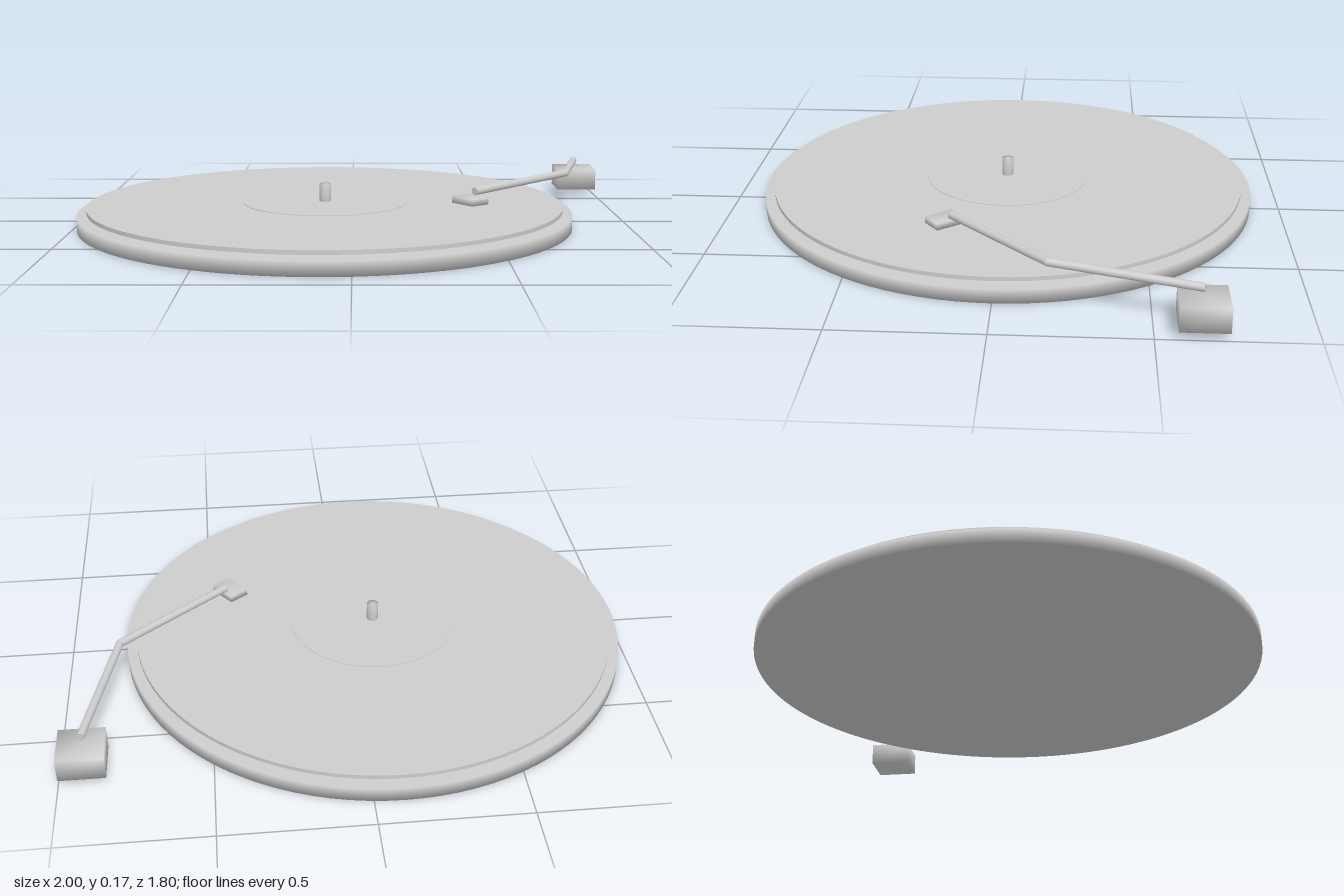
import * as THREE from 'three';
import { mergeVertices } from 'three/addons/utils/BufferGeometryUtils.js';

export function createModel() {
  const group = new THREE.Group();
  const grey = new THREE.MeshStandardMaterial({ color: 0xcccccc });
  grey.name = 'light grey';

  const add = (name, geometry, parent = group) => {
    const mesh = new THREE.Mesh(geometry, grey);
    mesh.name = name;
    parent.add(mesh);
    return mesh;
  };

  // Solid disc with shading that rolls softly over its rim
  const softDisc = (r, y0, y1, sides) => new THREE.LatheGeometry(
    [[0, y0], [r, y0], [r, y1], [0, y1]].map(([x, y]) => new THREE.Vector2(x, y)), sides);

  // Box with welded corners, shaded smooth
  const softBox = (w, h, d) => {
    let g = new THREE.BoxGeometry(w, h, d);
    g.deleteAttribute('normal');
    g.deleteAttribute('uv');
    g = mergeVertices(g);
    g.computeVertexNormals();
    return g;
  };

  // Turntable: platter, record, label and spindle share one axis
  const deck = new THREE.Group();
  deck.name = 'turntable';
  deck.position.x = -0.1;
  group.add(deck);
  add('platter', softDisc(0.9, 0, 0.05, 96), deck);
  add('record', new THREE.CylinderGeometry(0.865, 0.865, 0.014, 96), deck).position.y = 0.068;
  add('label', new THREE.CylinderGeometry(0.3, 0.3, 0.027, 64), deck).position.y = 0.0635;
  add('spindle', softDisc(0.021, 0.05, 0.142, 24), deck);

  // Tonearm: base block, two straight rods with a bend, and the head
  const arm = new THREE.Group();
  arm.name = 'tonearm';
  group.add(arm);
  add('armBase', softBox(0.155, 0.083, 0.155), arm).position.set(0.9225, 0.067, -0.65);

  const path = [[0.92, 0.137, -0.65], [0.81, 0.155, -0.175], [0.435, 0.139, 0.16]]
    .map(p => new THREE.Vector3(...p));
  const radius = 0.014;
  for (let i = 0; i < 2; i++) {
    const a = path[i], b = path[i + 1];
    const dir = b.clone().sub(a);
    const rod = add(i ? 'frontRod' : 'rearRod',
      new THREE.CylinderGeometry(radius, radius, dir.length(), 16), arm);
    rod.position.copy(a).add(b).multiplyScalar(0.5);
    rod.quaternion.setFromUnitVectors(new THREE.Vector3(0, 1, 0), dir.normalize());
  }
  add('armBend', new THREE.SphereGeometry(radius, 16, 12), arm).position.copy(path[1]);

  const head = add('head', softBox(0.077, 0.024, 0.106), arm);
  head.position.set(0.417, 0.112, 0.186);
  head.rotation.y = 0.66;

  return group;
}
